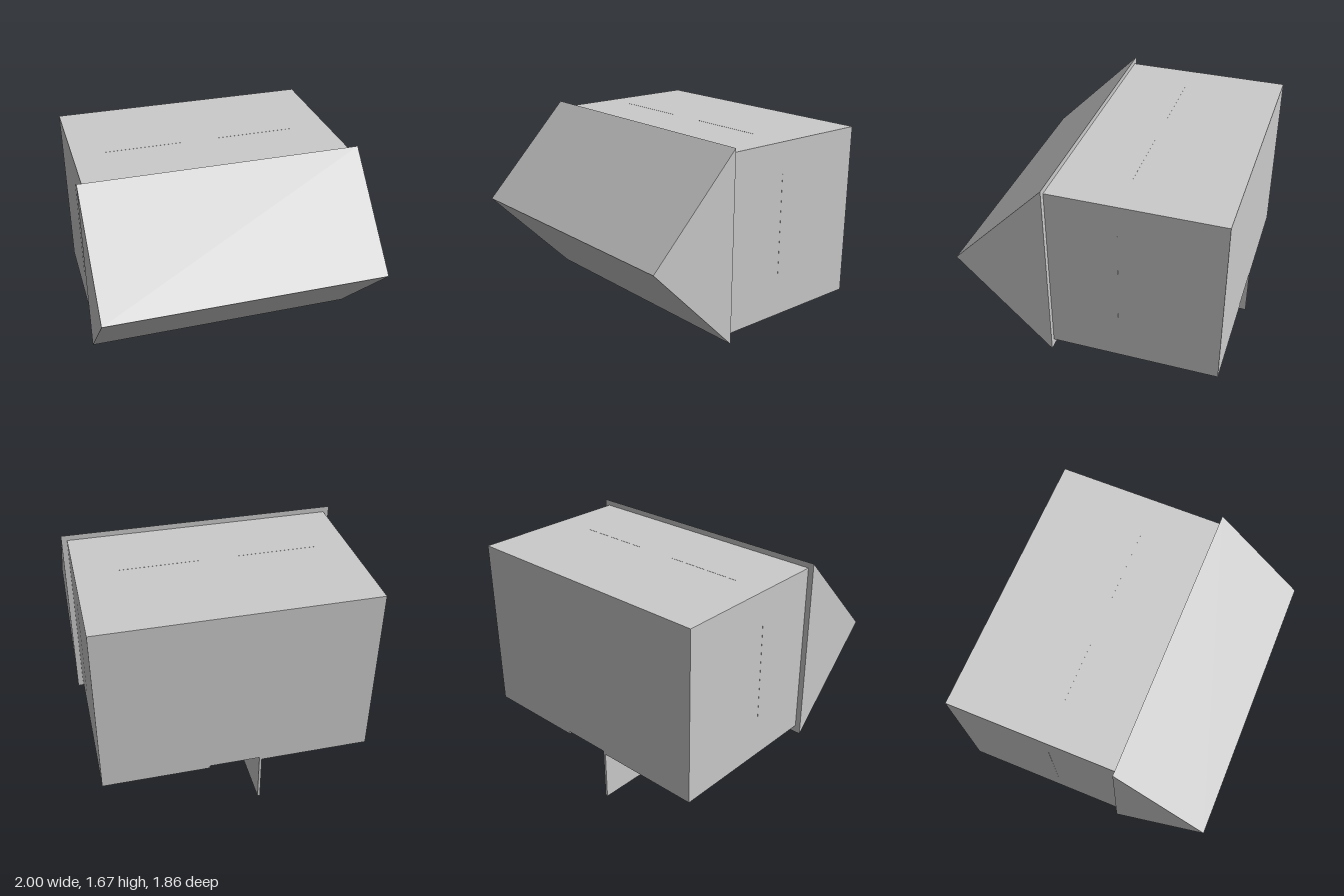
import * as THREE from 'three';

const material = new THREE.MeshStandardMaterial({ color: 0xcccccc, flatShading: true });
const T = 0.02; // sheet thickness
const X = 0.96, BOTTOM = 0.37, TOP = 1.635, BACK = -0.93, FRONT = 0.265;

export function createModel() {
  const model = new THREE.Group();

  const add = (name, geometry) => {
    const mesh = new THREE.Mesh(geometry, material);
    mesh.name = name;
    model.add(mesh);
    return mesh;
  };
  // Box given by its lower and upper corners
  const box = (name, [x0, y0, z0], [x1, y1, z1]) =>
    add(name, new THREE.BoxGeometry(x1 - x0, y1 - y0, z1 - z0))
      .position.set((x0 + x1) / 2, (y0 + y1) / 2, (z0 + z1) / 2);

  // Hollow case: roof, back and two sides
  box('roofPanel', [-X, TOP - T, BACK], [X, TOP, FRONT]);
  box('backPanel', [-X + T, BOTTOM + T, BACK], [X - T, TOP - T, BACK + T]);
  for (const s of [-1, 1]) {
    const [a, b] = [s * X, s * (X - T)].sort((p, q) => p - q);
    box(s > 0 ? 'leftPanel' : 'rightPanel', [a, BOTTOM + T, BACK], [b, TOP - T, FRONT]);
  }

  // Floor with a hatch opening cut in from the back edge
  const floor = new THREE.Shape([
    [-X, BACK], [-0.16, BACK], [-0.16, -0.26], [0.2, -0.26],
    [0.2, BACK], [X, BACK], [X, FRONT], [-X, FRONT],
  ].map(([x, z]) => new THREE.Vector2(x, z)));
  const floorGeometry = new THREE.ExtrudeGeometry(floor, { depth: T, bevelEnabled: false });
  floorGeometry.rotateX(Math.PI / 2).translate(0, BOTTOM + T, 0);
  add('floorPanel', floorGeometry);

  // Hatch door hanging open
  box('hatchDoor', [-0.178, 0, BACK], [-0.16, BOTTOM, -0.26]);

  // Wedge-shaped front, slightly larger than the case
  const wedge = new THREE.Shape([[-FRONT, 0.315], [-FRONT, 1.675], [-0.93, 0.995]]
    .map(([x, y]) => new THREE.Vector2(x, y)));
  const wedgeGeometry = new THREE.ExtrudeGeometry(wedge, { depth: 2, bevelEnabled: false });
  wedgeGeometry.rotateY(Math.PI / 2).translate(-1, 0, 0);
  add('frontWedge', wedgeGeometry);

  // Hairline seams around the case
  const z = -0.22, w = 0.002, e = 0.001;
  for (const [x0, x1] of [[-0.73, -0.17], [0.11, 0.67]]) {
    box('roofSeam', [x0, TOP - e, z - w], [x1, TOP + e, z + w]);
    box('floorSeam', [x0, BOTTOM - e, z - w], [x1, BOTTOM + e, z + w]);
  }
  for (const s of [-1, 1]) box('sideSeam', [s * X - e, 0.64, z - w], [s * X + e, 1.41, z + w]);

  return model;
}
